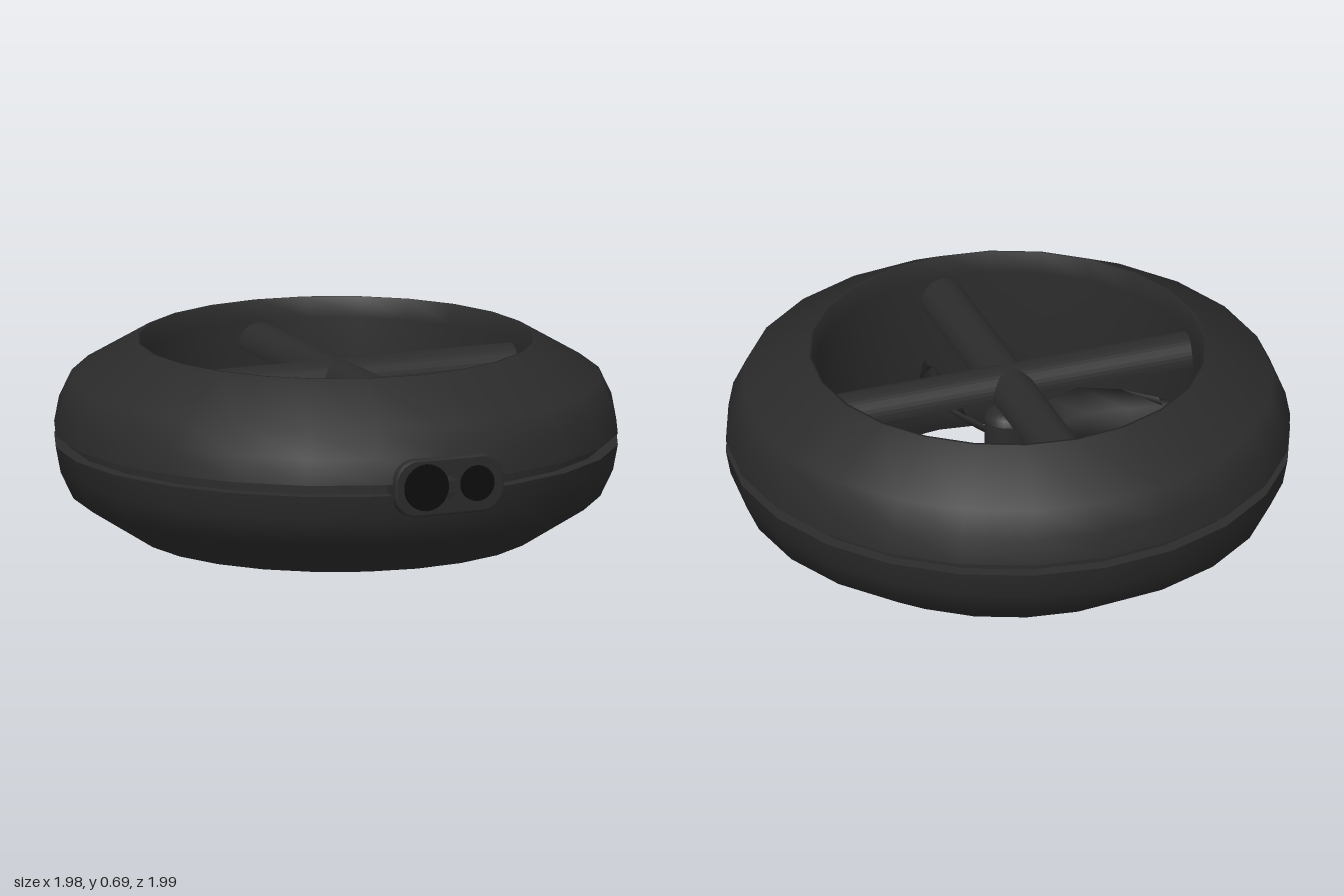
import * as THREE from 'three';

const body = new THREE.MeshStandardMaterial({ color: 0x2b2b2b });
const glass = new THREE.MeshStandardMaterial({ color: 0x0c0c0c });

function add(parent, name, geometry, material = body) {
  const mesh = new THREE.Mesh(geometry, material);
  mesh.name = name;
  parent.add(mesh);
  return mesh;
}

const lathe = (points, segments) =>
  new THREE.LatheGeometry(points.map(([r, y]) => new THREE.Vector2(r, y)), segments);

// Blade spanning +z with its chord towards +x: [span, inner edge, outer edge, pitch]
function bladeGeometry() {
  const stations = [
    [0.05, -0.04, 0.05, 0.85], [0.13, -0.02, 0.085, 0.8], [0.21, 0, 0.14, 0.75],
    [0.33, 0.02, 0.185, 0.7], [0.48, 0.02, 0.15, 0.65], [0.6, 0.03, 0.095, 0.6],
    [0.66, 0.05, 0.065, 0.6],
  ];
  const positions = [], index = [];
  stations.forEach(([z, inner, outer, pitch], i) => {
    const mid = (inner + outer) / 2, half = (outer - inner) / 2, rise = half * Math.tan(pitch);
    const t = 0.009;
    positions.push(outer, rise, z, mid - t / 2, t, z, inner, -rise, z, mid + t / 2, -t, z);
    if (i === 0) return;
    for (let j = 0; j < 4; j++) {
      const k = (j + 1) % 4, a = (i - 1) * 4, b = i * 4;
      index.push(a + j, a + k, b + k, a + j, b + k, b + j);
    }
  });
  const last = (stations.length - 1) * 4;
  index.push(last, last + 1, last + 2, last, last + 2, last + 3);
  const geometry = new THREE.BufferGeometry();
  geometry.setAttribute('position', new THREE.Float32BufferAttribute(positions, 3));
  geometry.setIndex(index);
  geometry.computeVertexNormals();
  return geometry;
}

function roundedRect(w, h, r) {
  const s = new THREE.Shape(), x = w / 2, y = h / 2;
  s.absarc(x - r, y - r, r, 0, Math.PI / 2);
  s.absarc(-x + r, y - r, r, Math.PI / 2, Math.PI);
  s.absarc(-x + r, -y + r, r, Math.PI, Math.PI * 1.5);
  s.absarc(x - r, -y + r, r, Math.PI * 1.5, Math.PI * 2);
  return s;
}

export function createModel() {
  const model = new THREE.Group();
  model.name = 'ductedFan';

  // Ring duct: two shells, the seam groove and the inner wall
  const duct = new THREE.Group();
  duct.name = 'duct';
  duct.position.z = -0.004;
  model.add(duct);
  const H = 0.69;
  const lower = [[0.7, 0], [0.93, 0.145], [0.975, 0.24], [0.992, 0.33]];
  const upper = lower.map(([r, y]) => [r, H + 0.01 - y]).reverse();
  upper[upper.length - 1][1] = H;
  add(duct, 'lowerShell', lathe(lower, 24));
  add(duct, 'upperShell', lathe(upper, 24));
  add(duct, 'grooveFloor', lathe([[0.992, 0.33], [0.945, 0.33]], 24));
  add(duct, 'grooveWall', lathe([[0.945, 0.33], [0.945, 0.37]], 24));
  add(duct, 'grooveCeiling', lathe([[0.945, 0.37], [0.992, 0.37]], 24));
  add(duct, 'innerWall', lathe([[0.7, H], [0.69, H], [0.672, 0.62], [0.666, 0.345],
    [0.672, 0.07], [0.69, 0], [0.7, 0]], 24));

  // Crossed struts with a domed top
  const section = new THREE.Shape();
  section.moveTo(-0.084, 0);
  section.lineTo(0.084, 0);
  section.absellipse(0, 0, 0.084, 0.085, 0, Math.PI, false);
  const strutGeometry = new THREE.ExtrudeGeometry(section,
    { depth: 1.34, bevelEnabled: false, curveSegments: 10 });
  strutGeometry.translate(0, 0.53, -0.67);
  for (let i = 0; i < 2; i++) add(model, 'strut', strutGeometry).rotation.y = i * Math.PI / 2;

  // Propeller hub on a shaft
  const rotor = new THREE.Group();
  rotor.name = 'rotor';
  model.add(rotor);
  add(rotor, 'shaft', new THREE.CylinderGeometry(0.025, 0.025, 0.16, 16)).position.y = 0.48;
  add(rotor, 'hub', new THREE.CylinderGeometry(0.082, 0.082, 0.18, 24)).position.y = 0.32;
  add(rotor, 'hubDome', lathe([[0.082, 0.41], [0.072, 0.432], [0.05, 0.446], [0, 0.452]], 24));
  add(rotor, 'hubCap', lathe([[0, 0.18], [0.08, 0.18], [0.09, 0.19], [0.09, 0.235], [0.082, 0.243]], 24));

  // Four pitched blades
  const blade = bladeGeometry();
  for (let i = 0; i < 4; i++) {
    const mesh = add(rotor, 'blade', blade);
    mesh.position.y = 0.3;
    mesh.rotation.y = i * Math.PI / 2;
  }

  // Sensor plate with a large and a small lens
  const sensor = new THREE.Group();
  sensor.name = 'sensor';
  sensor.position.y = 0.352;
  model.add(sensor);
  const plate = new THREE.ExtrudeGeometry(roundedRect(0.40, 0.19, 0.075), {
    depth: 0.08, bevelSize: 0.008, bevelThickness: 0.008, bevelSegments: 2, curveSegments: 8,
  });
  add(sensor, 'plate', plate).position.z = 0.896;
  for (const [name, x, r] of [['largeLens', -0.092, 0.083], ['smallLens', 0.102, 0.063]]) {
    const lens = add(sensor, name, new THREE.CylinderGeometry(r, r, 0.06, 28), glass);
    lens.rotation.x = Math.PI / 2;
    lens.position.set(x, 0.003, 0.967);
  }
  return model;
}
